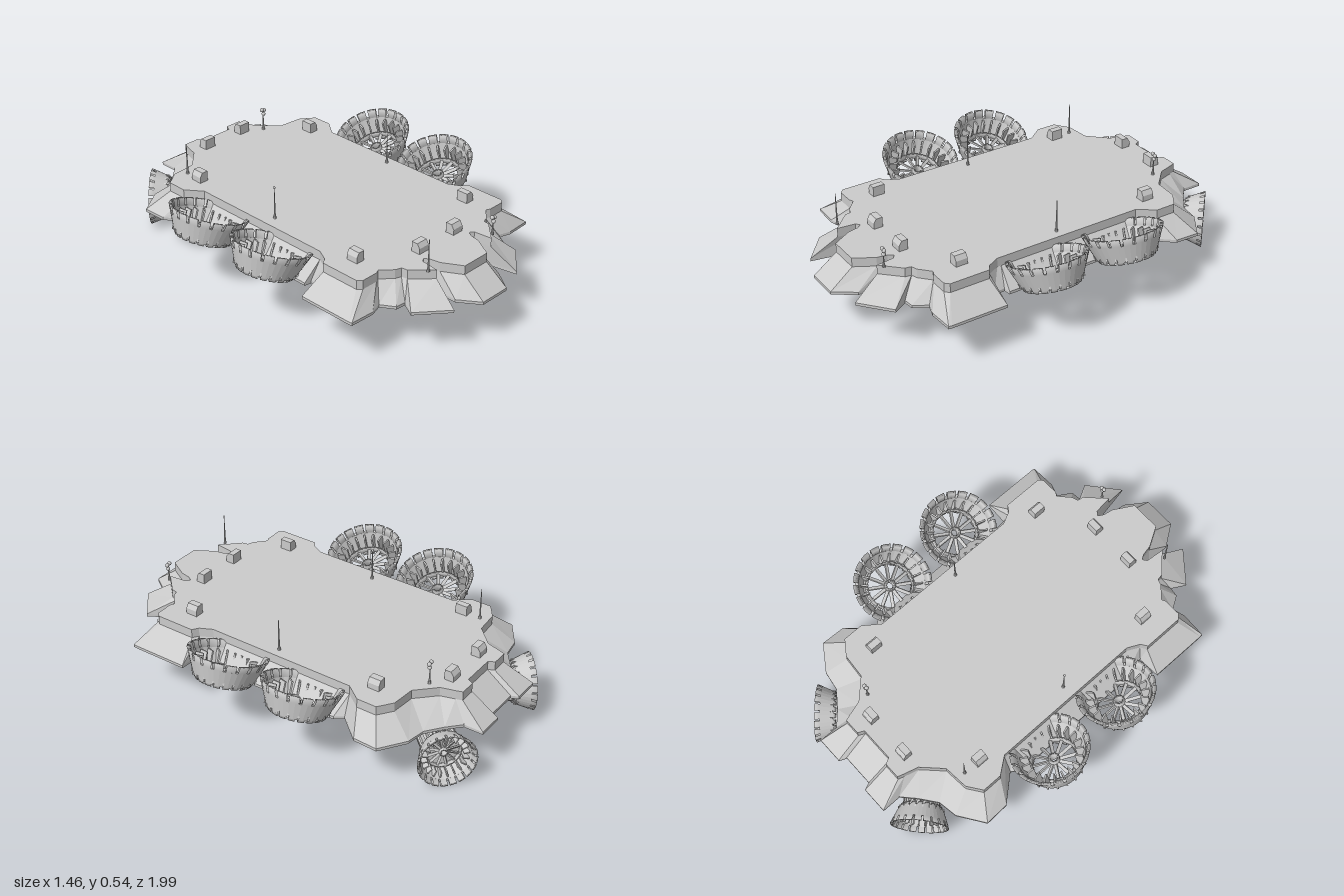
import * as THREE from 'three';
import { mergeGeometries } from 'three/addons/utils/BufferGeometryUtils.js';

const grey = new THREE.MeshStandardMaterial({ color: 0xcccccc, side: THREE.DoubleSide });
const flat = new THREE.MeshStandardMaterial({ color: 0xcccccc, flatShading: true });

function add(parent, name, geo, mat = flat, x = 0, y = 0, z = 0) {
  const m = new THREE.Mesh(geo, mat);
  m.name = name;
  m.position.set(x, y, z);
  parent.add(m);
  return m;
}

// Half outline, front to back: [deck x, deck z, skirt x, skirt z]
const OUTLINE = [
  [0.075, 0.885, 0.08, 1.0], [0.13, 0.79, 0.15, 0.9], [0.14, 0.74, 0.15, 0.78],
  [0.155, 0.715, 0.16, 0.725], [0.175, 0.73, 0.18, 0.76], [0.185, 0.82, 0.215, 0.95],
  [0.275, 0.73, 0.36, 0.83], [0.28, 0.7, 0.32, 0.76], [0.31, 0.69, 0.37, 0.755],
  [0.365, 0.64, 0.41, 0.69], [0.385, 0.65, 0.47, 0.71], [0.47, 0.65, 0.595, 0.705],
  [0.49, 0.63, 0.597, 0.69], [0.49, 0.43, 0.597, 0.405], [0.46, 0.41, 0.485, 0.4],
  [0.43, 0.35, 0.48, 0.345], [0.43, 0.33, 0.515, 0.34], [0.43, -0.38, 0.51, -0.39],
  [0.43, -0.42, 0.48, -0.43], [0.49, -0.5, 0.585, -0.55], [0.49, -0.6, 0.59, -0.67],
  [0.42, -0.65, 0.465, -0.755], [0.3, -0.66, 0.37, -0.77], [0.21, -0.75, 0.29, -0.83],
  [0.19, -0.82, 0.225, -0.89], [0.18, -0.85, 0.225, -0.985], [0.1, -0.85, 0.095, -0.985],
  [0.085, -0.82, 0.08, -0.95],
];

// Hull: loft of deck edge, wall foot and flared skirt, capped on both ends
function hull(group) {
  const loop = (k) => {
    const half = OUTLINE.map((p) => new THREE.Vector2(p[k], p[k + 1]));
    return [...half, ...half.map((p) => new THREE.Vector2(-p.x, p.y)).reverse()];
  };
  const deck = loop(0), skirt = loop(2);
  const rings = [[skirt, 0.233], [skirt, 0.247], [deck, 0.335], [deck, 0.38]];
  const pos = [];
  for (let r = 0; r < 3; r++) {
    const [lo, ya] = rings[r], [hi, yb] = rings[r + 1];
    lo.forEach((a, i) => {
      const j = (i + 1) % lo.length, b = lo[j], c = hi[j], d = hi[i];
      pos.push(a.x, ya, a.y, b.x, ya, b.y, c.x, yb, c.y, a.x, ya, a.y, c.x, yb, c.y, d.x, yb, d.y);
    });
  }
  const geo = new THREE.BufferGeometry();
  geo.setAttribute('position', new THREE.Float32BufferAttribute(pos, 3));
  geo.computeVertexNormals();
  add(group, 'hullSkirt', geo);
  const top = new THREE.Shape(deck.map((p) => new THREE.Vector2(p.x, -p.y)));
  add(group, 'deck', new THREE.ShapeGeometry(top).rotateX(-Math.PI / 2), flat, 0, 0.38, 0);
  add(group, 'hullBottom', new THREE.ShapeGeometry(new THREE.Shape(skirt)).rotateX(Math.PI / 2), flat, 0, 0.233, 0);
}

// Parts repeated around the y axis, merged into one geometry
function ringOf(n, make) {
  return mergeGeometries(Array.from({ length: n }, (_, i) => make(i).rotateY((i / n) * Math.PI * 2)));
}

// Thin box laid out along the radius
const radial = (r0, r1, y, h, w) => new THREE.BoxGeometry(r1 - r0, h, w).translate((r0 + r1) / 2, y, 0);

// Fan pod: notched bowl around a spoked rotor, wide end towards +y
function fanPod(name) {
  const pod = new THREE.Group();
  pod.name = name;
  const N = 20, step = (Math.PI * 2) / N;
  const v = (x, y) => new THREE.Vector2(x, y);
  const r = (y) => 0.136 + 0.054 * (y / 0.13);
  const section = (a, b, t) => [v(r(a), a), v(r(b), b), v(r(b) - t, b), v(r(a) - t, a), v(r(a), a)];
  add(pod, 'bowl', new THREE.LatheGeometry(section(0.012, 0.097, 0.016), 40),
    new THREE.MeshStandardMaterial({ color: 0xcccccc, flatShading: true, side: THREE.DoubleSide }));
  add(pod, 'rimTeeth', ringOf(N, () =>
    new THREE.LatheGeometry(section(0.097, 0.13, 0.016), 2, 0, step * 0.78)), grey);
  add(pod, 'baseTeeth', ringOf(N, () => new THREE.LatheGeometry(
    [v(0.138, 0.014), v(0.134, 0), v(0.104, -0.004), v(0.104, 0.014), v(0.138, 0.014)], 2, 0, step * 0.7)), grey);
  add(pod, 'innerFins', ringOf(N, () => radial(0.112, 0.15, 0.055, 0.08, 0.008)));
  add(pod, 'rotorRing', new THREE.LatheGeometry(
    [v(0.118, 0.01), v(0.118, 0.035), v(0.106, 0.035), v(0.106, 0.01), v(0.118, 0.01)], 32), grey);
  add(pod, 'rotorBlades', ringOf(12, () => radial(0.022, 0.11, 0, 0.008, 0.016).rotateX(0.5).translate(0, 0.025, 0)));
  add(pod, 'rotorHub', new THREE.LatheGeometry(
    [v(0.028, 0.005), v(0.028, 0.045), v(0.016, 0.045), v(0.016, 0.005), v(0.028, 0.005)], 12), grey);
  return pod;
}

// Rear engine: notched nozzle, slatted drum and an egg-shaped housing, along +y
function rearEngine(name) {
  const engine = new THREE.Group();
  engine.name = name;
  const nozzle = fanPod('nozzle');
  nozzle.scale.setScalar(0.73);
  nozzle.position.y = -0.095;
  engine.add(nozzle);
  add(engine, 'drumCore', new THREE.CylinderGeometry(0.07, 0.07, 0.15, 24), grey, 0, -0.165, 0);
  add(engine, 'drumSlats', ringOf(18, () => radial(0.066, 0.088, -0.165, 0.145, 0.014)));
  for (const y of [-0.095, -0.24]) add(engine, 'drumCollar', new THREE.CylinderGeometry(0.088, 0.088, 0.014, 24), grey, 0, y, 0);
  add(engine, 'housing', new THREE.SphereGeometry(1, 24, 16).scale(0.078, 0.14, 0.078), grey, 0, -0.29, 0);
  return engine;
}

// Deck locker with one sloping upper edge facing local +z
function locker(w, d) {
  const s = new THREE.Shape();
  s.moveTo(-d / 2, 0).lineTo(d / 2, 0).lineTo(d / 2, 0.028).lineTo(d / 2 - 0.014, 0.05).lineTo(-d / 2, 0.05).closePath();
  return new THREE.ExtrudeGeometry(s, { depth: w, bevelEnabled: false }).translate(0, 0, -w / 2).rotateY(-Math.PI / 2);
}

export function createModel() {
  const model = new THREE.Group();
  model.name = 'hovercraftPlatform';
  hull(model);

  // Side fan pods, rims leaning in towards the deck
  for (const s of [-1, 1]) {
    for (const z of [0.165, -0.25]) {
      const pod = fanPod('sideFanPod');
      pod.position.set(s * 0.593, 0.267, z);
      pod.rotation.z = s * 0.35;
      model.add(pod);
    }
    const engine = rearEngine('rearEngine');
    engine.position.set(s * 0.37, 0.14, -0.9);
    engine.quaternion.setFromUnitVectors(new THREE.Vector3(0, 1, 0), new THREE.Vector3(s * 0.68, 0, -0.733).normalize());
    model.add(engine);

    // Lockers and the bolts below the hull
    for (const [x, z, w, turn] of [[0.115, 0.66, 0.06, 0], [0.115, -0.755, 0.06, Math.PI],
      [0.37, 0.51, 0.06, s * Math.PI / 2], [0.37, -0.52, 0.06, s * Math.PI / 2]]) {
      add(model, 'deckLocker', locker(w, 0.046), flat, s * x, 0.38, z).rotation.y = turn;
    }
    for (const [x, z] of [[0.07, 0.9], [0.25, 0.82], [0.52, 0.62], [0.52, 0.47], [0.45, 0], [0.51, -0.6], [0.17, -0.9]]) {
      add(model, 'hullBolt', new THREE.CylinderGeometry(0.018, 0.018, 0.008, 6), flat, s * x, 0.232, z);
    }

    // Curled feed pipes ahead of the engine block
    for (const x of [0.035, 0.095, 0.155]) {
      const path = new THREE.CatmullRomCurve3([[0, 0.24, -0.43], [0.003, 0.21, -0.425], [0.02, 0.19, -0.425], [0.04, 0.198, -0.435], [0.045, 0.215, -0.46]]
        .map(([dx, y, z]) => new THREE.Vector3(s * (x + dx), y, z)));
      add(model, 'feedPipe', new THREE.TubeGeometry(path, 12, 0.012, 8), grey);
    }
  }

  // Engine block under the stern, chamfered lower front edge
  const side = new THREE.Shape([[-0.435, 0.235], [-0.435, 0.13], [-0.5, 0.07], [-0.645, 0.07], [-0.645, 0.235]]
    .map(([z, y]) => new THREE.Vector2(-z, y)));
  add(model, 'engineBlock', new THREE.ExtrudeGeometry(side, { depth: 0.48, bevelEnabled: false })
    .translate(0, 0, -0.24).rotateY(Math.PI / 2));

  // Masts: plain spikes, one ball-tipped, two with sensor clusters
  for (const [x, z, top, kind] of [[-0.22, 0.8, 0.54, 'spike'], [0.385, 0, 0.54, 'spike'], [-0.37, -0.61, 0.54, 'spike'],
    [-0.37, 0, 0.54, 'ball'], [0.215, 0.8, 0.47, 'cluster'], [0.21, -0.695, 0.49, 'cluster']]) {
    const h = top - 0.38;
    add(model, 'mast', new THREE.CylinderGeometry(0.0015, 0.005, h, 6), flat, x, 0.38 + h / 2, z);
    add(model, 'mastFoot', new THREE.CylinderGeometry(0.004, 0.008, 0.025, 8), flat, x, 0.392, z);
    if (kind === 'ball') add(model, 'mastBall', new THREE.SphereGeometry(0.006, 10, 8), grey, x, top, z);
    if (kind === 'cluster') {
      for (const [dx, dy] of [[-0.008, 0], [0.008, -0.004], [0.003, -0.024]]) {
        add(model, 'sensor', new THREE.SphereGeometry(0.01, 10, 8), grey, x + dx, top + dy, z);
      }
    }
  }
  return model;
}
